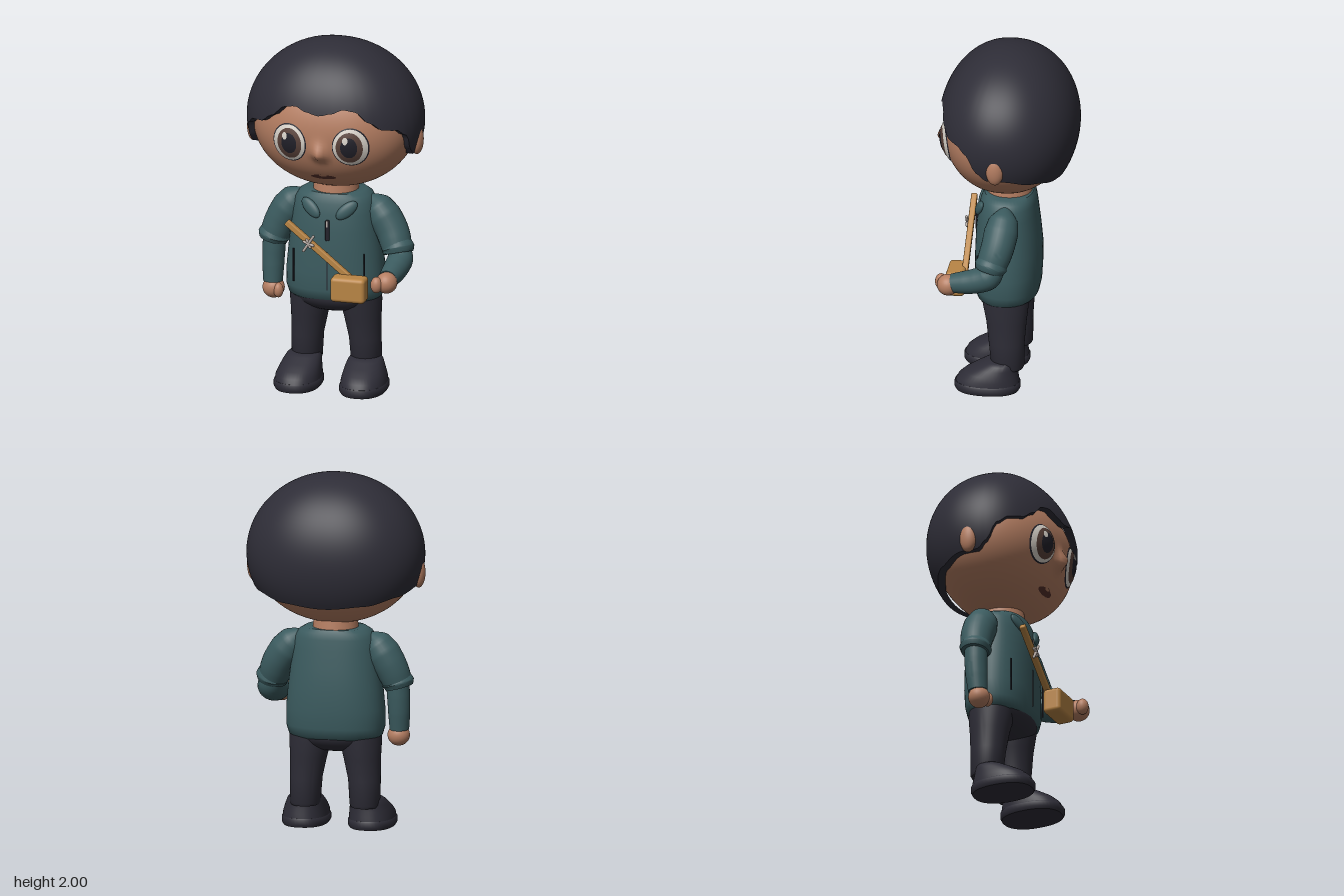
import * as THREE from 'three';
import { toCreasedNormals } from 'three/addons/utils/BufferGeometryUtils.js';
import { RoundedBoxGeometry } from 'three/addons/geometries/RoundedBoxGeometry.js';

const colours = {
  skin: 0xb57e62, hair: 0x2e2d37, shirt: 0x3b5b5f, trousers: 0x2d2c36, leather: 0xb98545,
  eyeWhite: 0xd9d3ca, iris: 0x5a423a, dark: 0x22212a, lip: 0x55302a, silver: 0xb5aaa4,
};
const mats = {};
for (const [name, color] of Object.entries(colours)) {
  mats[name] = new THREE.MeshStandardMaterial({ color });
  mats[name].name = name;
}

// Closed rings of points, joined row by row
function rings(rows, cols, fn, crease = 0.8) {
  const pos = [], idx = [];
  for (let r = 0; r <= rows; r++)
    for (let c = 0; c < cols; c++) pos.push(...fn(r, (c / cols) * Math.PI * 2));
  for (let r = 0; r < rows; r++)
    for (let c = 0; c < cols; c++) {
      const a = r * cols + c, b = r * cols + (c + 1) % cols;
      idx.push(a, b, a + cols, b, b + cols, a + cols);
    }
  const g = new THREE.BufferGeometry();
  g.setAttribute('position', new THREE.Float32BufferAttribute(pos, 3));
  g.setIndex(idx);
  g.computeVertexNormals();
  return crease ? toCreasedNormals(g, crease) : g;
}

const power = (v, n) => Math.sign(v) * Math.abs(v) ** (2 / n);

// Upright loft from sections [y, centreX, centreZ, radiusX, radiusZ]
const loft = (s, n = 2.3) => rings(s.length - 1, 48, (r, a) => {
  const [y, cx, cz, rx, rz] = s[r];
  return [cx + rx * power(Math.sin(a), n), y, cz + rz * power(Math.cos(a), n)];
});

// Rounded limb along a curve, with radii spread evenly over it
function limb(points, radii) {
  const curve = new THREE.CatmullRomCurve3(points.map((p) => new THREE.Vector3(...p)));
  const N = 28, { normals, binormals } = curve.computeFrenetFrames(N, false);
  return rings(N + 2, 28, (r, a) => {
    const i = Math.min(Math.max(r - 1, 0), N), u = (i / N) * (radii.length - 1);
    const k = Math.min(Math.floor(u), radii.length - 2);
    const cap = r === 0 || r === N + 2;
    const rad = cap ? 0.0005 : THREE.MathUtils.lerp(radii[k], radii[k + 1], u - k);
    return curve.getPointAt(i / N).addScaledVector(normals[i], Math.cos(a) * rad)
      .addScaledVector(binormals[i], Math.sin(a) * rad).toArray();
  });
}

// Head shape, with the nose pushed out of the face
const HEAD = { y: 1.53, rx: 0.46, ry: 0.37, rz: 0.355, n: 2.2 };
const nose = (x, y) => 0.056 * Math.exp(-((x / 0.035) ** 2) - ((y - 1.425) / (y > 1.425 ? 0.06 : 0.035)) ** 2);
function faceZ(x, y) {
  const c = Math.sqrt(1 - ((y - HEAD.y) / HEAD.ry) ** 2);
  const q = 1 - (Math.abs(x) / (HEAD.rx * c)) ** HEAD.n;
  return HEAD.rz * c * Math.max(q, 0) ** (1 / HEAD.n) + nose(x, y);
}

// Thin oval lying on the face
const patch = (cx, cy, rx, ry, lift, dome = () => 0) => rings(8, 40, (r, a) => {
  const k = 1 - r / 8, x = cx + Math.cos(a) * rx * k, y = cy + Math.sin(a) * ry * k;
  return [x, y, faceZ(x, y) + lift + dome(x, y)];
}, 0);

// Height of the hairline from the brow (0) round to the nape (pi)
const HAIRLINE = [[0, 1.66], [0.12, 1.675], [0.26, 1.7], [0.4, 1.69], [0.58, 1.625], [0.75, 1.58], [0.95, 1.57],
  [1.12, 1.53], [1.28, 1.43], [1.42, 1.385], [1.65, 1.385], [2.1, 1.35], [2.6, 1.31], [3.15, 1.29]];
function hairline(a) {
  const p = a > Math.PI ? 2 * Math.PI - a : a;
  const i = HAIRLINE.findIndex((h) => h[0] >= p && h[0] > 0);
  const [a0, y0] = HAIRLINE[i - 1], [a1, y1] = HAIRLINE[i];
  return THREE.MathUtils.lerp(y0, y1, THREE.MathUtils.smoothstep(p, a0, a1));
}

export function createModel() {
  const model = new THREE.Group();
  const add = (name, geo, mat, parent = model) => {
    const m = new THREE.Mesh(geo, mats[mat]);
    m.name = name;
    parent.add(m);
    return m;
  };
  const ball = (name, mat, p, s, rot = [0, 0, 0]) => {
    const m = add(name, new THREE.SphereGeometry(1, 28, 18), mat);
    m.position.set(...p);
    m.scale.set(...s);
    m.rotation.set(...rot);
    return m;
  };

  // Head and hair
  add('head', rings(72, 120, (r, a) => {
    const lat = (r / 72 - 0.5) * Math.PI, c = Math.max(Math.cos(lat), 0.0005);
    const x = HEAD.rx * c * power(Math.sin(a), HEAD.n), y = HEAD.y + HEAD.ry * Math.sin(lat);
    const z = HEAD.rz * c * power(Math.cos(a), HEAD.n);
    return [x, y, z + (z > 0.1 ? nose(x, y) : 0)];
  }, 0), 'skin');
  add('hair', rings(34, 128, (r, a) => {
    const low = Math.asin((hairline(a) - 1.55) / 0.45);
    const lat = THREE.MathUtils.lerp(low, Math.PI / 2, Math.max(r - 1, 0) / 33);
    const c = Math.max(Math.cos(lat), 0.0005) * (r === 0 ? 0.88 : 1);
    const depth = Math.cos(a) > 0 ? 0.383 : 0.395;
    return [0.497 * c * power(Math.sin(a), 2.2), 1.55 + 0.45 * Math.sin(lat), depth * c * power(Math.cos(a), 2.15)];
  }), 'hair');
  for (const s of [1, -1]) ball(s > 0 ? 'leftEar' : 'rightEar', 'skin', [s * 0.468, 1.455, 0.01], [0.037, 0.085, 0.05]);

  // Eyes and mouth
  for (const s of [1, -1]) {
    const cx = s * 0.175, cy = 1.48, side = s > 0 ? 'left' : 'right';
    const dome = (x, y) => 0.017 * Math.max(0, 1 - ((x - cx) / 0.1) ** 2 - ((y - cy) / 0.112) ** 2);
    add(side + 'EyeRim', patch(cx, cy, 0.101, 0.113, 0.002, dome), 'dark');
    add(side + 'EyeWhite', patch(cx, cy, 0.095, 0.107, 0.005, dome), 'eyeWhite');
    add(side + 'Iris', patch(cx - s * 0.003, cy, 0.073, 0.09, 0.008, dome), 'iris');
    add(side + 'Pupil', patch(cx - s * 0.003, cy + 0.003, 0.046, 0.06, 0.011, dome), 'dark');
    add(side + 'EyeGlint', patch(cx - 0.022, cy + 0.045, 0.015, 0.021, 0.014, dome), 'eyeWhite');
  }
  add('mouth', patch(0, 1.272, 0.072, 0.016, 0.003), 'lip');
  add('upperLip', patch(0, 1.284, 0.022, 0.007, 0.006), 'skin');

  // Neck and shirt
  const neck = add('neck', new THREE.CylinderGeometry(0.12, 0.135, 0.14, 40), 'skin');
  neck.position.set(0, 1.13, -0.005);
  add('shirt', loft([
    [0.515, 0, 0, 0.001, 0.001], [0.515, 0, 0, 0.245, 0.15], [0.53, 0, 0, 0.262, 0.17], [0.58, 0, 0, 0.277, 0.181],
    [0.68, 0, -0.003, 0.276, 0.184], [0.8, 0, -0.004, 0.265, 0.184], [0.92, 0, -0.001, 0.25, 0.176],
    [1.02, 0, 0, 0.238, 0.165], [1.08, 0, -0.002, 0.225, 0.155], [1.115, 0, -0.005, 0.205, 0.146],
    [1.135, 0, -0.005, 0.17, 0.135], [1.137, 0, -0.005, 0.001, 0.001],
  ]), 'shirt');
  for (const s of [1, -1]) {
    ball(s > 0 ? 'leftCollar' : 'rightCollar', 'shirt', [s * 0.103, 1.052, 0.148], [0.072, 0.036, 0.02], [-0.2, s * 0.25, s * 0.72]);
    const slit = add('pocketSlit', new THREE.BoxGeometry(0.007, 0.19, 0.008), 'dark');
    slit.position.set(s * 0.203, 0.71, 0.146);
    slit.rotation.y = s * 0.6;
  }
  const seam = add('frontSeam', new THREE.BoxGeometry(0.006, 0.22, 0.008), 'dark');
  seam.position.set(0, 0.7, 0.179);
  const zip = add('zipPull', new RoundedBoxGeometry(0.024, 0.12, 0.014, 3, 0.006), 'dark');
  zip.position.set(0, 0.935, 0.176);
  const zipTab = add('zipTab', new THREE.BoxGeometry(0.008, 0.035, 0.006), 'silver');
  zipTab.position.set(0, 0.975, 0.184);

  // Hanging right arm
  add('rightUpperSleeve', limb([[-0.185, 1.095, -0.01], [-0.24, 1.04, -0.01], [-0.315, 0.92, -0.01], [-0.358, 0.815, 0]],
    [0.025, 0.082, 0.095, 0.093, 0.088, 0.08]), 'shirt');
  add('rightCuff', limb([[-0.345, 0.855, 0], [-0.353, 0.832, 0], [-0.36, 0.805, 0]], [0.08, 0.09, 0.078]), 'shirt');
  add('rightForearm', limb([[-0.35, 0.85, 0], [-0.357, 0.7, 0.005], [-0.357, 0.565, 0.015]], [0.064, 0.064, 0.061, 0.054]), 'shirt');
  ball('rightHand', 'skin', [-0.352, 0.53, 0.02], [0.062, 0.06, 0.06]);
  ball('rightThumb', 'skin', [-0.315, 0.525, 0.055], [0.028, 0.042, 0.03]);

  // Bent left arm
  add('leftUpperSleeve', limb([[0.185, 1.095, -0.01], [0.24, 1.04, -0.005], [0.325, 0.92, 0.015], [0.37, 0.81, 0.05]],
    [0.025, 0.082, 0.095, 0.093, 0.09, 0.083]), 'shirt');
  add('leftCuff', limb([[0.36, 0.85, 0.038], [0.37, 0.825, 0.046], [0.376, 0.8, 0.053]], [0.082, 0.092, 0.08]), 'shirt');
  add('leftForearm', limb([[0.37, 0.83, 0.03], [0.385, 0.77, 0.055], [0.38, 0.735, 0.13], [0.37, 0.708, 0.26]],
    [0.062, 0.072, 0.07, 0.064, 0.054]), 'shirt');
  ball('leftHand', 'skin', [0.37, 0.698, 0.285], [0.06, 0.06, 0.062]);
  ball('leftThumb', 'skin', [0.325, 0.695, 0.33], [0.034, 0.046, 0.034]);

  // Trousers and shoes
  ball('hips', 'trousers', [0, 0.535, 0.005], [0.255, 0.105, 0.165]);
  for (const s of [1, -1]) {
    const side = s > 0 ? 'left' : 'right';
    add(side + 'Leg', loft([
      [0.125, s * 0.17, -0.02, 0.001, 0.001], [0.125, s * 0.17, -0.02, 0.078, 0.085], [0.14, s * 0.17, -0.02, 0.085, 0.092],
      [0.28, s * 0.165, -0.013, 0.09, 0.1], [0.4, s * 0.152, -0.01, 0.103, 0.112], [0.5, s * 0.142, -0.005, 0.118, 0.128],
      [0.58, s * 0.135, 0, 0.12, 0.13],
    ], 2), 'trousers');
    add(side + 'Sole', loft([
      [0, s * 0.188, 0.09, 0.001, 0.001], [0, s * 0.188, 0.09, 0.122, 0.175], [0.015, s * 0.188, 0.09, 0.131, 0.183],
      [0.042, s * 0.188, 0.09, 0.131, 0.183], [0.05, s * 0.188, 0.09, 0.125, 0.178], [0.05, s * 0.188, 0.09, 0.001, 0.001],
    ]), 'trousers');
    add(side + 'Shoe', loft([
      [0.045, s * 0.188, 0.09, 0.126, 0.178], [0.075, s * 0.187, 0.085, 0.123, 0.168], [0.105, s * 0.184, 0.07, 0.115, 0.147],
      [0.135, s * 0.18, 0.045, 0.106, 0.118], [0.16, s * 0.177, 0.022, 0.096, 0.094], [0.173, s * 0.175, 0.012, 0.085, 0.08],
      [0.178, s * 0.175, 0.01, 0.001, 0.001],
    ]), 'trousers');
  }

  // Shoulder bag, its strap and clasp
  const bag = add('bag', new RoundedBoxGeometry(0.198, 0.142, 0.105, 4, 0.022), 'leather');
  bag.position.set(0.151, 0.638, 0.267);
  const strap = add('bagStrap', new RoundedBoxGeometry(0.54, 0.036, 0.034, 3, 0.008), 'leather');
  strap.position.set(-0.012, 0.812, 0.222);
  strap.rotation.z = -0.68;
  for (const [turn, length] of [[1.0, 0.12], [-0.35, 0.07], [2.0, 0.06]]) {
    const bar = add('strapClasp', new THREE.CapsuleGeometry(0.008, length - 0.016, 4, 10), 'silver');
    bar.position.set(-0.09, 0.872, 0.244);
    bar.rotation.z = turn - Math.PI / 2;
  }
  return model;
}
